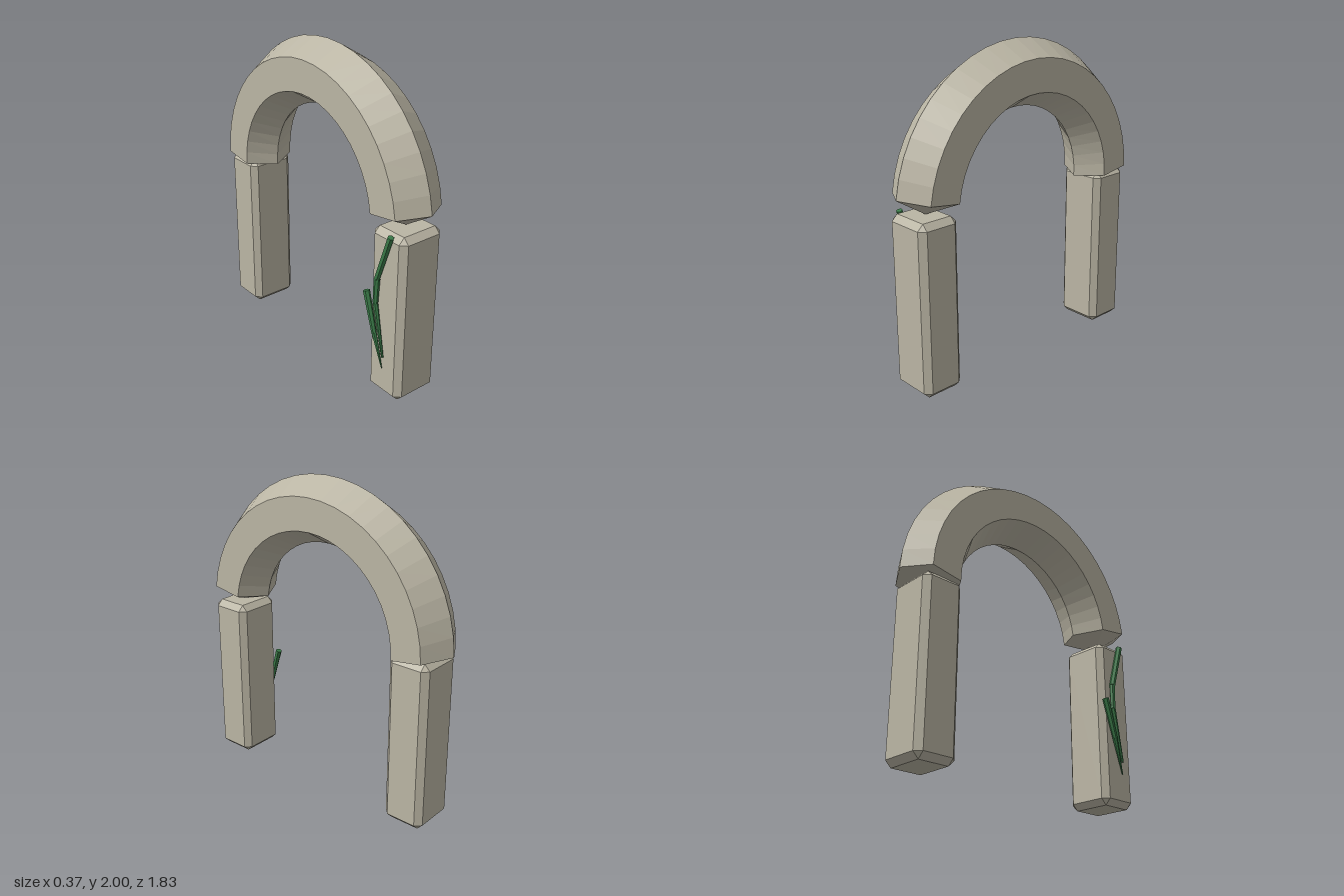
import * as THREE from 'three';
import { ConvexGeometry } from 'three/addons/geometries/ConvexGeometry.js';

const stone = new THREE.MeshStandardMaterial({ color: 0xbab5a4 });
stone.name = 'stone';
const vineGreen = new THREE.MeshStandardMaterial({ color: 0x3a7a48 });
vineGreen.name = 'vineGreen';

// Box with every edge cut at 45 degrees
function chamferedBox(w, h, d, c) {
  const points = [];
  for (const x of [-1, 1]) for (const y of [-1, 1]) for (const z of [-1, 1]) {
    for (let axis = 0; axis < 3; axis++) {
      const inset = [c, c, c];
      inset[axis] = 0;
      points.push(new THREE.Vector3(
        x * (w / 2 - inset[0]), y * (h / 2 - inset[1]), z * (d / 2 - inset[2])));
    }
  }
  return new ConvexGeometry(points);
}

// Six-sided half ring, pointed at its front foot and cut flat at its back foot
function archGeometry(R, r, steps, sides) {
  const at = (a) => new THREE.Vector3(0, R * Math.sin(a), R * Math.cos(a));
  const rings = [];
  for (let k = 1; k <= steps; k++) {
    const centre = at((k / steps) * Math.PI);
    const tilt = THREE.MathUtils.degToRad(
      THREE.MathUtils.mapLinear(k, 1, steps, 8.5, 171.5));
    const ring = [];
    for (let j = 0; j < sides; j++) {
      const phi = (j / sides) * Math.PI * 2;
      const out = r * Math.cos(phi);
      ring.push(new THREE.Vector3(
        r * Math.sin(phi), out * Math.sin(tilt), out * Math.cos(tilt)).add(centre));
    }
    rings.push(ring);
  }
  const triangles = [];
  const last = rings.length - 1;
  for (let j = 0; j < sides; j++) {
    const n = (j + 1) % sides;
    for (let k = 0; k < last; k++) {
      const [p, q] = [rings[k], rings[k + 1]];
      triangles.push(p[j], p[n], q[j], p[n], q[n], q[j]);
    }
    triangles.push(at(0), rings[0][n], rings[0][j]);
    triangles.push(at(Math.PI), rings[last][j], rings[last][n]);
  }
  const geometry = new THREE.BufferGeometry().setFromPoints(triangles);
  geometry.computeVertexNormals();
  return geometry;
}

// Faceted stem piece running between two points
function stemPiece(a, b, ra, rb) {
  const length = a.distanceTo(b);
  const geometry = new THREE.CylinderGeometry(rb, ra, length, 6).toNonIndexed();
  geometry.computeVertexNormals();
  const mesh = new THREE.Mesh(geometry, vineGreen);
  mesh.position.copy(a).lerp(b, 0.5);
  mesh.quaternion.setFromUnitVectors(
    new THREE.Vector3(0, 1, 0), b.clone().sub(a).normalize());
  return mesh;
}

// Each node is [x, y, z, radius]
function vine(name, nodes) {
  const group = new THREE.Group();
  group.name = name;
  for (let i = 0; i < nodes.length - 1; i++) {
    const [a, b] = [nodes[i], nodes[i + 1]];
    const piece = stemPiece(
      new THREE.Vector3(a[0], a[1], a[2]), new THREE.Vector3(b[0], b[1], b[2]), a[3], b[3]);
    piece.name = name + 'Piece';
    group.add(piece);
  }
  return group;
}

export function createModel() {
  const model = new THREE.Group();
  model.name = 'stoneArch';

  // Upright posts
  const postGeometry = chamferedBox(0.31, 1.08, 0.27, 0.037);
  for (const [name, z] of [['frontPost', 0.728], ['backPost', -0.708]]) {
    const post = new THREE.Mesh(postGeometry, stone);
    post.name = name;
    post.position.set(0.008, 0.54, z);
    model.add(post);
  }

  // Curved top
  const arch = new THREE.Mesh(archGeometry(0.716, 0.204, 24, 6), stone);
  arch.name = 'arch';
  arch.position.set(0.008, 1.08, 0);
  model.add(arch);

  // Vines on the right face of the front post
  model.add(vine('longVine', [
    [-0.16, 1.075, 0.775, 0.02],
    [-0.166, 0.78, 0.68, 0.019],
    [-0.168, 0.62, 0.675, 0.016],
    [-0.165, 0.28, 0.745, 0.007],
  ]));
  model.add(vine('shortVine', [
    [-0.172, 0.67, 0.6, 0.021],
    [-0.172, 0.42, 0.675, 0.016],
    [-0.163, 0.2, 0.74, 0.003],
  ]));
  return model;
}
